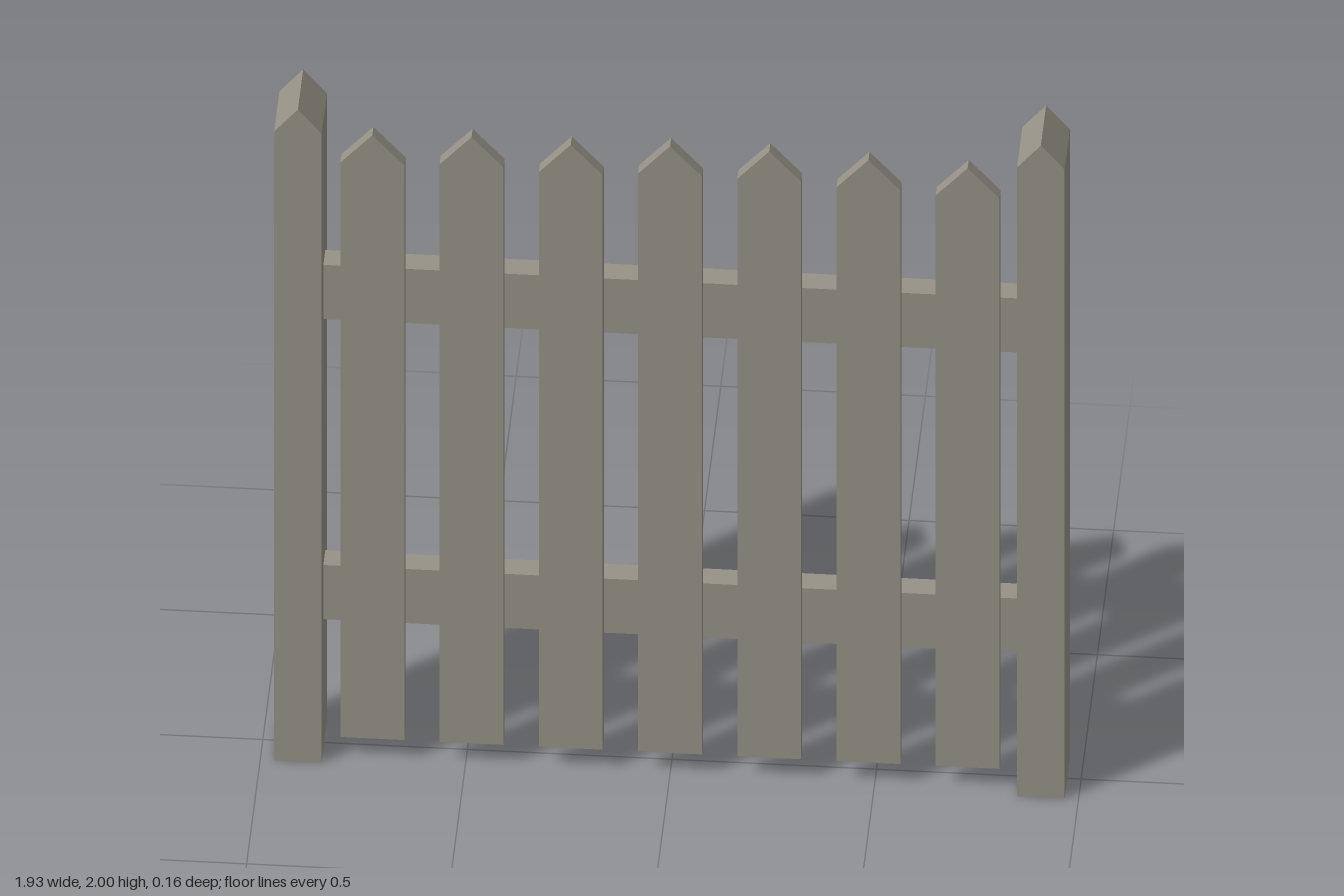
import * as THREE from 'three';

const wood = new THREE.MeshStandardMaterial({ color: 0x969287, side: THREE.DoubleSide });
wood.name = 'weatheredWood';

// Upright board with a pointed top, from bottom to tip, spanning z0..z1
function pointedBoard(width, bottom, shoulder, tip, z0, z1) {
  const w = width / 2;
  const shape = new THREE.Shape([
    new THREE.Vector2(-w, bottom),
    new THREE.Vector2(w, bottom),
    new THREE.Vector2(w, shoulder),
    new THREE.Vector2(0, tip),
    new THREE.Vector2(-w, shoulder),
  ]);
  const geometry = new THREE.ExtrudeGeometry(shape, { depth: z1 - z0, bevelEnabled: false });
  return geometry.translate(0, 0, z0);
}

// Remove the triangles lying on the ground, leaving the foot open
function openFoot(source) {
  const flat = source.index ? source.toNonIndexed() : source;
  const p = flat.getAttribute('position');
  const kept = [];
  for (let i = 0; i < p.count; i += 3) {
    if (Math.max(p.getY(i), p.getY(i + 1), p.getY(i + 2)) < 1e-5) continue;
    for (let k = i; k < i + 3; k++) kept.push(p.getX(k), p.getY(k), p.getZ(k));
  }
  const geometry = new THREE.BufferGeometry();
  geometry.setAttribute('position', new THREE.Float32BufferAttribute(kept, 3));
  geometry.computeVertexNormals();
  return geometry;
}

export function createModel() {
  const fence = new THREE.Group();
  fence.name = 'picketFence';

  const add = (name, geometry, x, y = 0, z = 0) => {
    const mesh = new THREE.Mesh(geometry, wood);
    mesh.name = name;
    mesh.position.set(x, y, z);
    fence.add(mesh);
  };

  // End posts, hollow at the foot
  const post = openFoot(pointedBoard(0.116, 0, 1.93, 2, -0.081, 0.081));
  add('leftPost', post, 0.908);
  add('rightPost', post, -0.908);

  // Horizontal rails between the posts
  const rail = new THREE.BoxGeometry(1.7, 0.166, 0.06);
  add('lowerRail', rail, 0, 0.483, -0.002);
  add('upperRail', rail, 0, 1.404, -0.002);

  // Pickets on the front of the rails, with slightly uneven tops
  const tips = [1.918, 1.927, 1.918, 1.928, 1.927, 1.915, 1.905];
  tips.forEach((tip, i) => {
    const board = pointedBoard(0.156, 0.067, tip - 0.088, tip, 0.028, 0.062);
    add('picket' + (i + 1), board, (i - 3) * 0.2425);
  });

  return fence;
}
